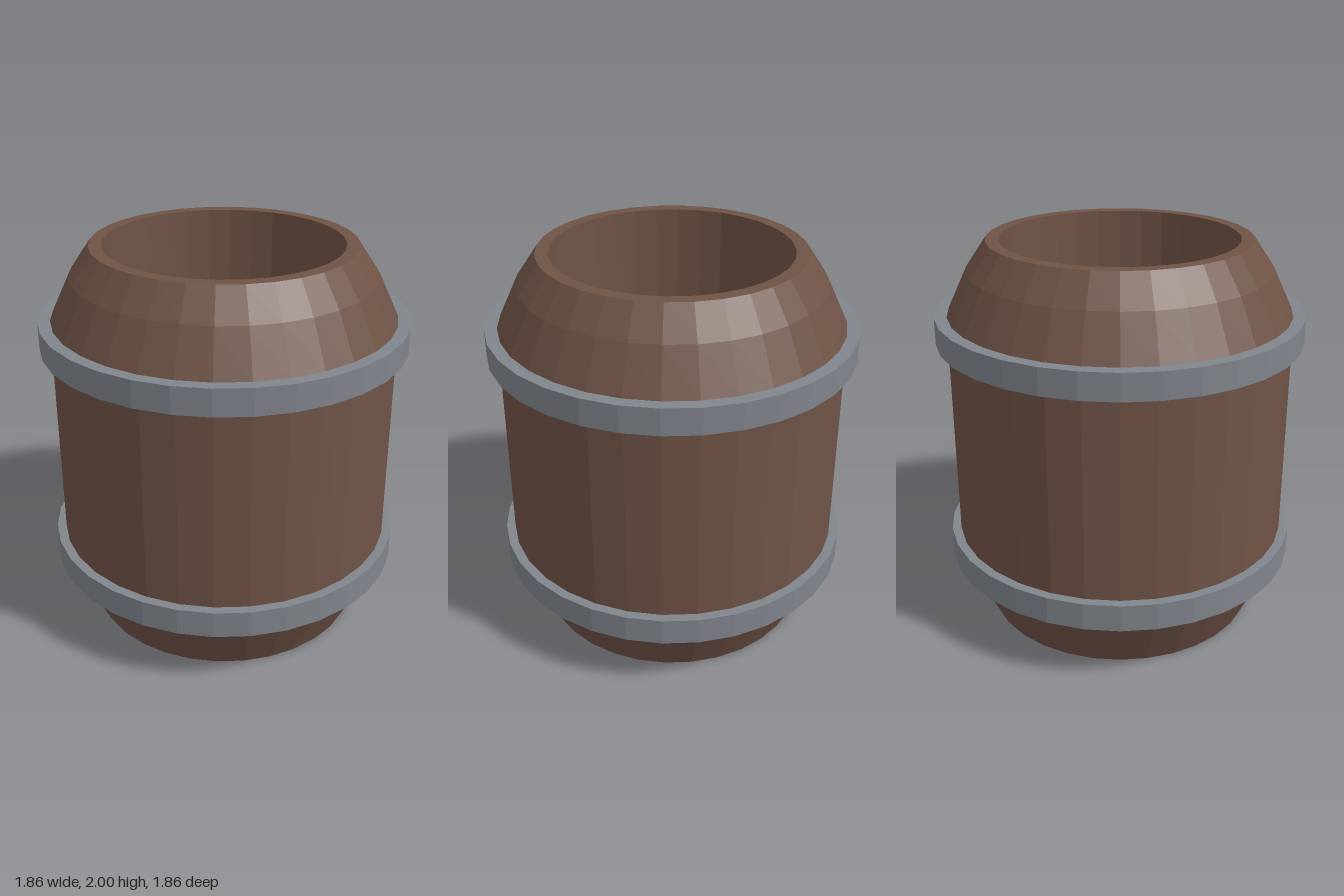
import * as THREE from 'three';

const SIDES = 32;

export function createModel() {
  const wood = new THREE.MeshStandardMaterial({ color: 0x6f5346, flatShading: true });
  wood.name = 'brown wood';
  const iron = new THREE.MeshStandardMaterial({ color: 0x80858c, flatShading: true });
  iron.name = 'grey iron';

  const barrel = new THREE.Group();
  barrel.name = 'barrel';

  // Turns a [radius, height] profile into a faceted solid
  function turn(name, profile, material) {
    const points = profile.map(([r, y]) => new THREE.Vector2(r, y));
    const mesh = new THREE.Mesh(new THREE.LatheGeometry(points, SIDES), material);
    mesh.name = name;
    barrel.add(mesh);
  }

  // Hollow body: underside, outer wall, rim, inner wall, inside floor
  turn('body', [
    [0, 0], [0.71, 0], [0.868, 0.33], [0.868, 1.63], [0.763, 1.85], [0.66, 2],
    [0.595, 2], [0.595, 0.15], [0, 0.15],
  ], wood);

  // Hoops around the body
  function hoop(name, radius, bottom, top) {
    const inner = 0.85;
    turn(name, [[inner, bottom], [radius, bottom], [radius, top], [inner, top]], iron);
  }
  hoop('lowerHoop', 0.915, 0.32, 0.46);
  hoop('upperHoop', 0.928, 1.5, 1.635);

  return barrel;
}
